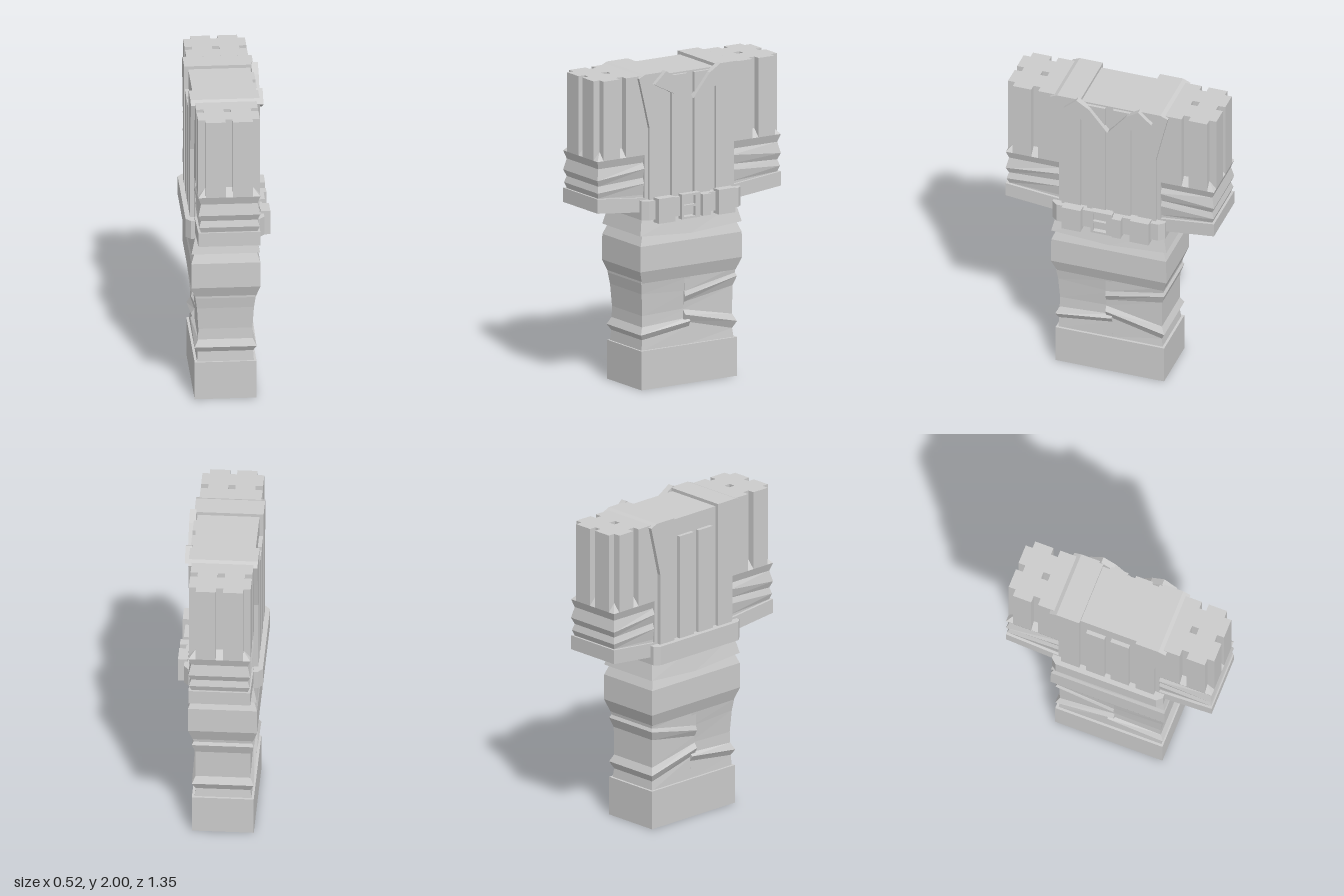
import * as THREE from 'three';

const CX = -0.02, HX = 0.19; // body centre and half depth along x

export function createModel() {
  const root = new THREE.Group();
  root.name = 'uniform';
  const grey = new THREE.MeshStandardMaterial({ color: 0xcccccc });
  grey.name = 'grey cloth';

  const add = (name, geometry) => {
    const mesh = new THREE.Mesh(geometry, grey);
    mesh.name = name;
    root.add(mesh);
    return mesh;
  };

  const box = (name, x0, x1, y0, y1, z0, z1) =>
    add(name, new THREE.BoxGeometry(x1 - x0, y1 - y0, z1 - z0))
      .position.set((x0 + x1) / 2, (y0 + y1) / 2, (z0 + z1) / 2);

  // Four-cornered loft; row: half depth, zMin, y at zMin, zMax, y at zMax
  const loft = (name, rows) => {
    const pos = [], idx = [];
    for (const [h, z0, y0, z1, y1] of rows)
      pos.push(CX + h, y1, z1, CX + h, y0, z0, CX - h, y0, z0, CX - h, y1, z1);
    for (let r = 0; r < rows.length - 1; r++)
      for (let k = 0; k < 4; k++) {
        const a = r * 4 + k, b = r * 4 + (k + 1) % 4;
        idx.push(a, b, b + 4, a, b + 4, a + 4);
      }
    const t = (rows.length - 1) * 4;
    idx.push(0, 2, 1, 0, 3, 2, t, t + 1, t + 2, t, t + 2, t + 3);
    let g = new THREE.BufferGeometry();
    g.setAttribute('position', new THREE.Float32BufferAttribute(pos, 3));
    g.setIndex(idx);
    g = g.toNonIndexed();
    g.computeVertexNormals();
    return add(name, g);
  };

  // Folded cloth on one side; row: outer y, inner y, inset
  const folds = (name, s, outer, inner, rows) => loft(name, rows.map(([yo, yi, d]) =>
    s > 0 ? [HX - d, inner, yi, outer - d, yo] : [HX - d, -outer + d, yo, -inner, yi]));

  // Outline in (z, y), extruded from x0 to x1
  const slab = (name, pts, x0, x1) => {
    const shape = new THREE.Shape(pts.map(([z, y]) => new THREE.Vector2(-z, y)));
    const g = new THREE.ExtrudeGeometry(shape, { depth: x1 - x0, bevelEnabled: false });
    g.rotateY(Math.PI / 2).translate(x0, 0, 0);
    return add(name, g);
  };

  // Outline in (x, z), extruded from y0 to y1
  const column = (name, pts, y0, y1, hole) => {
    const vec = ([x, z]) => new THREE.Vector2(x, -z);
    const shape = new THREE.Shape(pts.map(vec));
    if (hole) shape.holes.push(new THREE.Path(hole.map(vec)));
    const g = new THREE.ExtrudeGeometry(shape, { depth: y1 - y0, bevelEnabled: false });
    g.rotateX(-Math.PI / 2).translate(0, y0, 0);
    return add(name, g);
  };

  // Boots and trouser legs with slanted creases
  box('boots', CX - HX, CX + HX, 0, 0.245, -0.352, 0.352);
  folds('leftLeg', 1, 0.355, -0.01, [
    [0.24, 0.24, 0.015], [0.31, 0.355, 0.02], [0.345, 0.39, 0], [0.39, 0.41, 0.022],
    [0.46, 0.47, 0.024], [0.6, 0.58, 0.015], [0.67, 0.67, 0.005], [0.69, 0.69, 0.005]]);
  folds('rightLeg', -1, 0.352, -0.03, [
    [0.24, 0.24, 0.015], [0.3, 0.39, 0.022], [0.345, 0.435, 0], [0.39, 0.465, 0.022],
    [0.57, 0.51, 0.02], [0.63, 0.55, 0], [0.65, 0.58, 0.01], [0.69, 0.69, 0.005]]);
  loft('hips', [[0.67, 0.185, 0.345], [0.75, 0.212, 0.375], [0.91, 0.212, 0.372],
    [0.975, 0.19, 0.345], [1.09, 0.18, 0.32]].map(([y, h, z]) => [h, -z, y, z, y]));

  // Saddle of the jacket across the middle of the torso
  box('torso', CX - HX, CX + HX, 1.08, 1.97, -0.33, 0.33);

  for (const s of [1, -1]) {
    const side = s > 0 ? 'left' : 'right';
    const m = pts => pts.map(([z, y]) => [z * s, y]);

    // Flared shirt tail with a hem that dips at the middle
    folds(side + 'ShirtTail', s, 0.352, 0, [[0.975, 0.95, -0.021], [1.09, 1.09, 0.006]]);

    // Shoulder panel wrapping over the top
    slab(side + 'ShoulderPanel', m([[0.185, 1.08], [0.305, 1.08], [0.305, 1.65],
      [0.345, 1.82], [0.382, 1.97], [0.335, 1.99], [0.185, 1.99]]), -0.235, 0.19);

    // Chest and back panels, separated by grooves
    slab(side + 'ChestPanel', m([[0.025, 1.08], [0.14, 1.08], [0.14, 1.96], [0.025, 1.96]]), 0.16, 0.19);
    slab(side + 'BackPanel', m([[0.02, 1.08], [0.14, 1.08], [0.14, 1.86], [0.02, 1.86]]), -0.235, -0.2);

    // Collar flap
    slab(side + 'CollarFlap', m([[0.285, 1.925], [0.2, 2], [0.12, 1.95],
      [0, 1.805], [0.14, 1.85]]), 0.178, 0.218);

    // Upper sleeve with vertical grooves and notched corners
    const x0 = CX - HX, x1 = CX + HX, g = 0.045, w = 0.022, e = 0.675;
    const plan = [[x0, 0.31], [x0, 0.465], [x0 + g, 0.465], [x0 + g, 0.51], [x0, 0.51],
      [x0, e - g], [x0 + g, e - g], [x0 + g, e], [CX - w, e], [CX - w, e - g]];
    const mirrored = plan.map(([x, z]) => [2 * CX - x, z]).reverse();
    const ms = pts => pts.map(([x, z]) => [x, z * s]);
    column(side + 'UpperSleeve', ms([...plan, ...mirrored]), 1.48, 1.98,
      ms([[CX - w, 0.465], [CX + w, 0.465], [CX + w, 0.51], [CX - w, 0.51]]));

    // Creased lower sleeve and cuff
    folds(side + 'SleeveFolds', s, e, 0.31, [
      [1.23, 1.2, 0.016], [1.245, 1.225, 0.016], [1.28, 1.3, 0.004], [1.32, 1.335, 0.016],
      [1.36, 1.395, 0], [1.43, 1.43, 0.016], [1.48, 1.48, 0], [1.53, 1.53, 0.045]]);
    folds(side + 'Cuff', s, e, 0.31, [[1.155, 1.117, 0], [1.245, 1.207, 0]]);

    // Belt pouch
    box(side + 'Pouch', 0.2, 0.26, 1.057, 1.213, s > 0 ? 0.16 : -0.282, s > 0 ? 0.282 : -0.16);
  }

  // Belt with chamfered corners
  column('belt', [[-0.265, -0.33], [-0.235, -0.365], [0.19, -0.365], [0.22, -0.33],
    [0.22, 0.33], [0.19, 0.365], [-0.235, 0.365], [-0.265, 0.33]], 1.077, 1.197);

  // Buckle frame, its bars and the belt loop
  for (const y of [1.057, 1.13, 1.2]) box('buckleBar', 0.2, 0.24, y, y + 0.013, -0.037, 0.1);
  for (const z of [-0.037, 0.085]) box('buckleSide', 0.2, 0.24, 1.057, 1.213, z, z + (z < 0 ? 0.037 : 0.015));
  box('beltLoop', 0.2, 0.26, 1.065, 1.2, -0.1, -0.042);

  return root;
}
